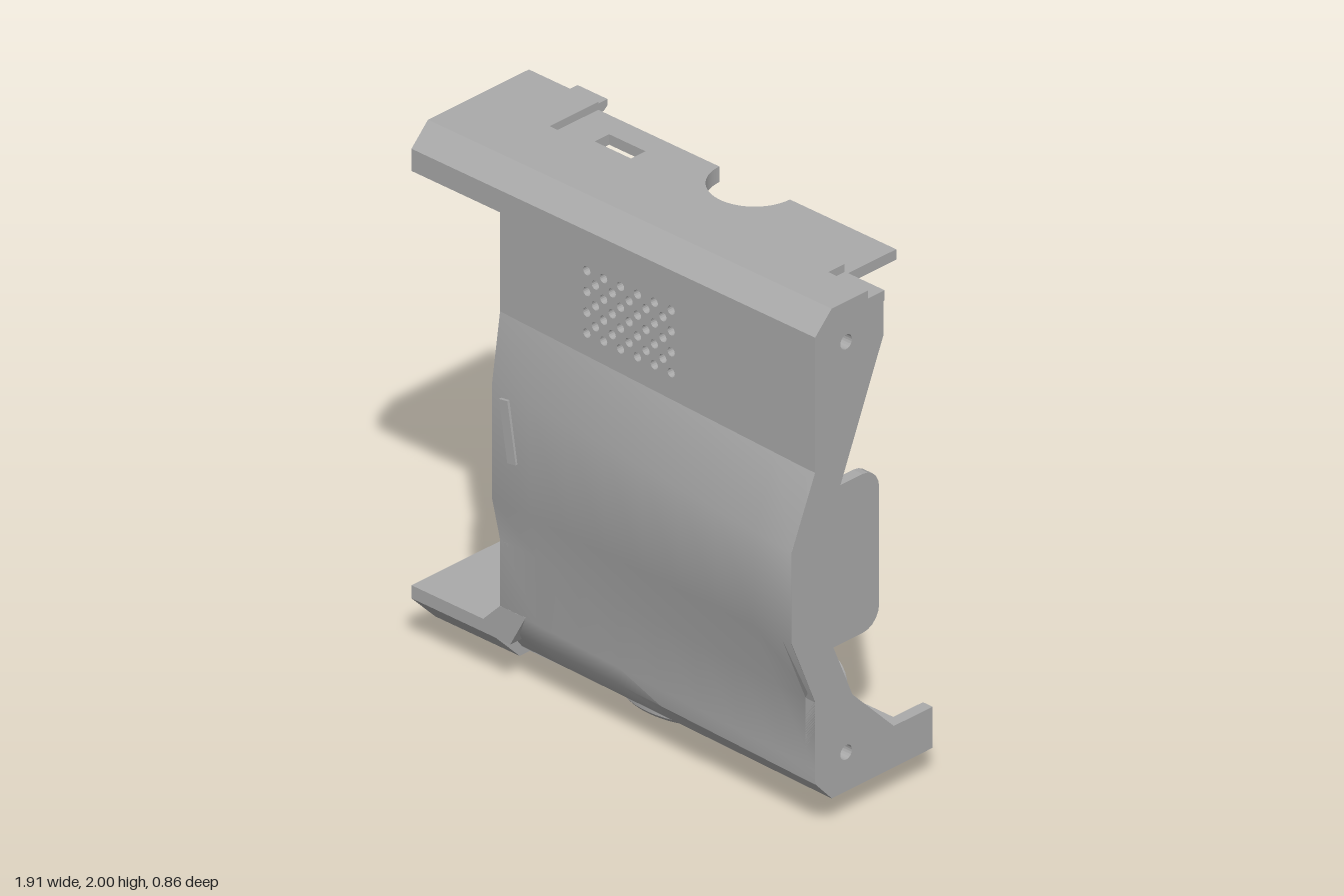
import * as THREE from 'three';
import { toCreasedNormals } from 'three/addons/utils/BufferGeometryUtils.js';

const X0 = -0.53, X1 = 0.945, BACK = -0.287;
// front wall cross-sections [z, y] at the two ends of the shell
const LEFT_END = [[0.28, 1.455], [0.318, 1.2], [0.318, 0.75], [0.28, 0.58], [0.28, 0.325], [0.255, 0.235], [0.175, 0.13]];
const RIGHT_END = [[0.28, 1.4], [0.395, 1.14], [0.395, 0.79], [0.28, 0.52], [0.28, 0.26], [0.28, 0.205], [0.2, 0.12]];

const section = (x) => {
  const t = (x - X0) / (X1 - X0);
  return LEFT_END.map(([z, y], i) => [z + (RIGHT_END[i][0] - z) * t, y + (RIGHT_END[i][1] - y) * t]);
};

// depth of the front surface at a given x and height
function frontZ(x, y) {
  const s = section(x);
  for (let i = 0; i < s.length - 1; i++) {
    const [za, ya] = s[i], [zb, yb] = s[i + 1];
    if (y <= ya && y >= yb) return za + (zb - za) * (ya - y) / (ya - yb);
  }
  return 0.28;
}

const toShape = (points) => new THREE.Shape(points.map((p) => new THREE.Vector2(...p)));
const circle = (x, y, r) => new THREE.Path().absarc(x, y, r, 0, Math.PI * 2, true);

// extrude a shape drawn in (x, y) between two depths
function alongZ(shape, za, zb, curveSegments = 8) {
  return new THREE.ExtrudeGeometry(shape, { depth: zb - za, bevelEnabled: false, curveSegments }).translate(0, 0, za);
}

// extrude a [z, y] outline along x, with optional round holes [z, y, r]
function alongX(points, xa, xb, holes = []) {
  const shape = toShape(points.map(([z, y]) => [-z, y]));
  holes.forEach(([z, y, r]) => shape.holes.push(circle(-z, y, r)));
  return alongZ(shape, 0, xb - xa, 10).rotateY(Math.PI / 2).translate(xa, 0, 0);
}

// extrude a shape drawn in (x, -z) upward
function alongY(shape, ya, yb) {
  return alongZ(shape, 0, yb - ya, 28).rotateX(-Math.PI / 2).translate(0, ya, 0);
}

function box(xa, xb, ya, yb, za, zb) {
  return new THREE.BoxGeometry(xb - xa, yb - ya, zb - za).translate((xa + xb) / 2, (ya + yb) / 2, (za + zb) / 2);
}

// deck outline with a half-round notch in its back edge
function notchedDeck(xa, xb, front, cx, r) {
  const s = new THREE.Shape();
  s.moveTo(xa, -BACK);
  s.lineTo(xa, -front);
  s.lineTo(xb, -front);
  s.lineTo(xb, -BACK);
  s.lineTo(cx + r, -BACK);
  s.absarc(cx, -BACK, r, 0, -Math.PI, true);
  return s;
}

// loft of the hollow front wall across x
function shellGeometry() {
  const n = 8, pos = [], idx = [];
  const m = LEFT_END.length * 2;
  for (let k = 0; k <= n; k++) {
    const x = X0 + (X1 - X0) * k / n, outer = section(x);
    const inner = outer.map(([z, y], i) => [z - 0.04, y + [0, 0, 0, 0, 0, 0.02, 0.05][i]]).reverse();
    [...outer, ...inner].forEach(([z, y]) => pos.push(x, y, z));
  }
  for (let k = 0; k < n; k++) for (let i = 0; i < m; i++) {
    const a = k * m + i, b = k * m + (i + 1) % m;
    idx.push(a, b, b + m, a, b + m, a + m);
  }
  const g = new THREE.BufferGeometry();
  g.setAttribute('position', new THREE.Float32BufferAttribute(pos, 3));
  g.setIndex(idx);
  return toCreasedNormals(g, 0.5);
}

// upright divider following the front wall, rounded at its back corners
function divider(x, yb, yt, zBack, r, roundTop = true) {
  const pts = [[zBack + r, yb]];
  [yb, yb + (yt - yb) / 2, yt].forEach((y) => pts.push([frontZ(x, y) - 0.02, y]));
  const corner = (cy, from) => {
    for (let i = 0; i <= 5; i++) {
      const a = from + (Math.PI / 2) * i / 5;
      pts.push([zBack + r - Math.sin(a) * r, cy + Math.cos(a) * r]);
    }
  };
  if (roundTop) corner(yt - r, 0); else pts.push([zBack, yt]);
  corner(yb + r, Math.PI / 2);
  pts.pop();
  return alongX(pts, x - 0.022, x + 0.022);
}

// shelf between two dividers
function shelf(xa, xb, ya, yb, zBackA, zBackB) {
  const y = (ya + yb) / 2;
  return alongY(toShape([[xa, -zBackA], [xa, 0.02 - frontZ(xa, y)], [xb, 0.02 - frontZ(xb, y)], [xb, -zBackB]]), ya, yb);
}

// screw tube pointing backward
function boss(x, y, za, zb, r, hole) {
  const s = new THREE.Shape().absarc(x, y, r, 0, Math.PI * 2, false);
  s.holes.push(circle(x, y, hole));
  return toCreasedNormals(alongZ(s, za, zb, 14), 0.6);
}

export function createModel() {
  const grey = new THREE.MeshStandardMaterial({ color: 0xaaaaaa, side: THREE.DoubleSide });
  grey.name = 'plastic grey';
  const body = new THREE.Group();
  const add = (name, geometry) => {
    const mesh = new THREE.Mesh(geometry, grey);
    mesh.name = name;
    body.add(mesh);
    return mesh;
  };

  // front wall: bulged lower part and flat upper part with a hole grille
  add('frontShell', shellGeometry());
  const upper = toShape([[X0, 1.455], [X1, 1.4], [X1, 1.92], [X0, 1.92]]);
  for (let row = 0; row < 7; row++) {
    const odd = row % 2;
    for (let c = 0; c < 6 - odd; c++) upper.holes.push(circle(-0.124 + c * 0.079 + odd * 0.04, 1.767 - row * 0.04, 0.017));
  }
  add('grilleWall', alongZ(upper, 0.24, 0.28));

  // top cover, its stepped back lip and the cable notch
  const cover = (zb) => [[0.28, 1.92], [0.2, 2], [zb, 2], [zb, 1.93], [0.18, 1.93], [0.24, 1.89]];
  add('topCover', alongX(cover(-0.052), -0.62, 0.76));
  add('topCoverEnd', alongX(cover(0.025), 0.76, X1));
  const lip = notchedDeck(-0.62, 0.775, -0.04, 0.112, 0.165);
  lip.holes.push(toShape([[-0.475, 0.12], [-0.305, 0.12], [-0.305, 0.19], [-0.475, 0.19]]));
  add('topLip', alongY(lip, 1.93, 1.97));
  add('topLipEnd', box(0.76, X1, 1.93, 1.97, -0.055, 0.04));
  const rim = new THREE.Shape().absarc(0.112, -BACK, 0.185, 0, -Math.PI, true);
  rim.absarc(0.112, -BACK, 0.165, -Math.PI, 0, false);
  add('notchRim', alongY(rim, 1.91, 1.97));

  // floor with the round cup below it
  add('floor', alongY(notchedDeck(-0.54, X1, 0.17, -0.05, 0.3), 0.122, 0.17));
  const cupProfile = [[0.31, 0.005], [0.34, 0.005], [0.353, 0.02], [0.353, 0.1], [0.372, 0.13], [0.372, 0.18],
    [0.3, 0.18], [0.3, 0.07], [0.31, 0.06], [0.31, 0.005]].map((p) => new THREE.Vector2(...p));
  const cup = new THREE.Group();
  cup.name = 'cup';
  cup.position.set(-0.05, 0, BACK);
  const cupWall = new THREE.Mesh(toCreasedNormals(new THREE.LatheGeometry(cupProfile, 40, -Math.PI / 2, Math.PI), 0.5), grey);
  cupWall.name = 'cupWall';
  cup.add(cupWall);
  for (const side of [0, Math.PI]) {
    const cap = new THREE.Mesh(new THREE.ShapeGeometry(new THREE.Shape(cupProfile)), grey);
    cap.name = 'cupEnd';
    cap.rotation.y = side;
    cup.add(cap);
  }
  body.add(cup);
  add('cupClip', box(-0.395, -0.335, 0.02, 0.3, BACK, -0.21));

  // end plates
  const holes = [[0.13, 1.845, 0.028], [0.13, 0.27, 0.028]];
  add('endPlate', alongX([[-0.05, 1.97], [0.03, 1.97], [0.03, 2], [0.2, 2], [0.28, 1.92], ...section(X1 - 0.045), [BACK, 0.122],
    [BACK, 0.28], [-0.1, 0.28], [0.1, 0.48], [0.24, 0.81], [0.24, 1.11], [-0.05, 1.8]], X1 - 0.045, X1, holes));
  add('innerEndPlate', alongX([[0.28, 1.92], ...LEFT_END, [0.05, 0.13], [0.05, 0.28], [0.14, 0.48],
    [0.2, 0.75], [0.2, 1.2], [0.15, 1.45], [0.15, 1.92]], X0, X0 + 0.04));

  // side arms at the top and bottom
  add('topArm', alongX([[BACK, 1.835], [BACK, 2], [0.2, 2], [0.28, 1.92], [0.28, 1.835]], -X1, -0.62, [[0.13, 1.9, 0.028]]));
  add('topArmRoot', alongX([[-0.05, 1.835], [-0.05, 2], [0.2, 2], [0.28, 1.92], [0.28, 1.835]], -0.62, X0));
  add('bottomArm', alongX([[BACK, 0.08], [BACK, 0.245], [0.28, 0.245], [0.28, 0.195], [0.165, 0.08]], -X1, -0.55, [[0.13, 0.17, 0.028]]));
  add('bottomArmRoot', box(-0.56, -0.42, 0.13, 0.244, BACK, 0.16));
  // sloped web joining the arm to the front wall
  add('armWeb', alongZ(toShape([[-0.61, 0.244], [-0.56, 0.195], [-0.482, 0.195], [-0.41, 0.325], [-0.53, 0.325]]), 0.2, 0.2805));

  // latch tongues
  for (const y of [1.9, 0.145]) {
    add('latch', alongX([[BACK + 0.02, y], [BACK + 0.02, y + 0.038], [-0.404, y + 0.038], [-0.404, y + 0.015], [-0.385, y]], -0.83, -0.69));
  }

  // inner compartments
  for (const [x, zBack] of [[0.65, -0.087], [-0.48, -0.052]]) {
    add('topTab', divider(x, 1.57, 1.91, -0.052, 0.04, false));
    add('upperDivider', divider(x, 1.08, 1.4, zBack, 0.05));
  }
  add('upperShelf', shelf(-0.48, 0.65, 1.07, 1.11, -0.052, -0.087));
  for (const x of [0.675, -0.24]) add('lowerDivider', divider(x, 0.5, 1.11, -0.285, 0.08));
  add('lowerShelf', shelf(-0.24, 0.675, 0.5, 0.54, -0.07, -0.07));

  // screw tubes
  add('topBoss', boss(0.52, 1.7, 0.12, 0.25, 0.055, 0.028));
  add('topBoss', boss(-0.4, 1.64, 0.13, 0.25, 0.055, 0.028));
  add('bottomBoss', boss(0.53, 0.275, -0.21, 0.24, 0.09, 0.035));
  add('sideBoss', boss(0.75, 0.27, 0.06, 0.24, 0.07, 0.03));
  add('sideBossBase', box(0.68, 0.82, 0.15, 0.22, 0.06, 0.17));

  // slim indicator bar on the front
  const bar = add('indicatorBar', new THREE.BoxGeometry(0.04, 0.235, 0.02));
  bar.position.set(-0.445, 1.045, 0.323);
  bar.rotation.z = 0.17;

  body.name = 'housing';
  body.rotation.y = -0.0335;
  const model = new THREE.Group();
  model.name = 'housingHalf';
  model.add(body);
  return model;
}
